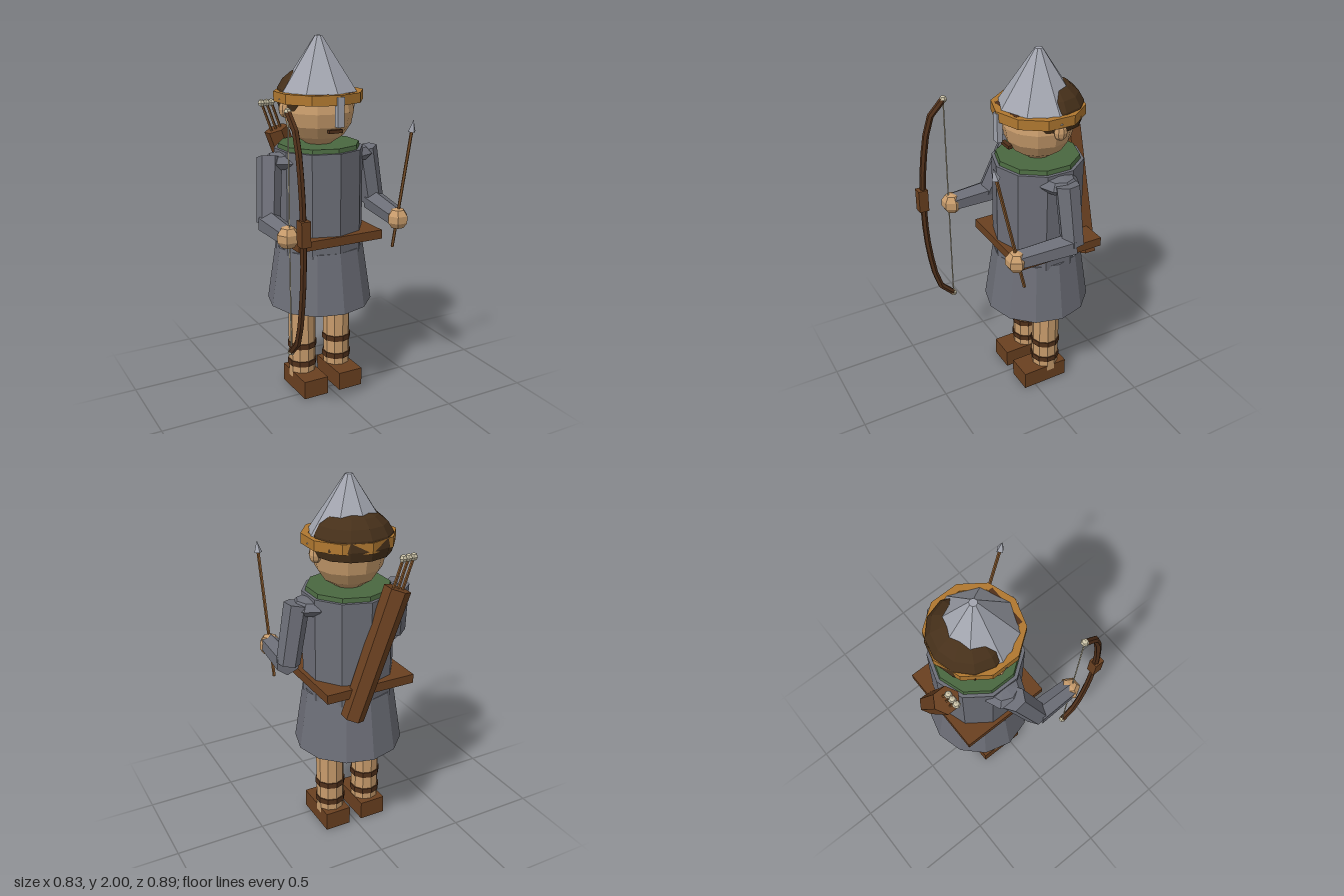
import * as THREE from 'three';

const paint = (name, color, extra = {}) => {
  const m = new THREE.MeshStandardMaterial({ color, flatShading: true, ...extra });
  m.name = name;
  return m;
};

export function createModel() {
  const root = new THREE.Group();
  root.name = 'archer';

  const cloth = paint('grey cloth', 0x6c6e77);
  const steel = paint('steel', 0xa2a5af);
  const skin = paint('skin', 0xc89c6c);
  const leather = paint('leather', 0x6a4020);
  const darkLeather = paint('dark leather', 0x50301a);
  const hairMat = paint('hair', 0x46301a, { side: THREE.DoubleSide });
  const gold = paint('gold', 0xb07830);
  const green = paint('green', 0x4a6840);
  const cream = paint('cream', 0xcdc5aa);
  const wood = paint('wood', 0x83562c);

  const Z = -0.105; // body axis
  const UP = new THREE.Vector3(0, 1, 0);

  const add = (name, geometry, material, x = 0, y = 0, z = 0) => {
    const mesh = new THREE.Mesh(geometry, material);
    mesh.name = name;
    mesh.position.set(x, y, z);
    root.add(mesh);
    return mesh;
  };
  const box = (name, mat, w, h, d, x, y, z) => add(name, new THREE.BoxGeometry(w, h, d), mat, x, y, z);
  // Upright cylinder between two heights
  const column = (name, mat, rTop, rBottom, y0, y1, sides, x = 0, z = Z) =>
    add(name, new THREE.CylinderGeometry(rTop, rBottom, y1 - y0, sides), mat, x, (y0 + y1) / 2, z);
  const ball = (name, mat, r, x, y, z, w = 8, h = 6) => add(name, new THREE.SphereGeometry(r, w, h), mat, x, y, z);
  // Cylinder from point a (radius ra) to point b (radius rb)
  const rod = (name, mat, a, b, ra, rb, sides = 6) => {
    const p = new THREE.Vector3(...a), q = new THREE.Vector3(...b);
    const dir = q.clone().sub(p);
    const mesh = add(name, new THREE.CylinderGeometry(rb, ra, dir.length(), sides), mat);
    mesh.position.copy(p).add(q).multiplyScalar(0.5);
    mesh.quaternion.setFromUnitVectors(UP, dir.normalize());
    return mesh;
  };

  // Tunic, belt and collar
  column('torso', cloth, 0.245, 0.245, 0.84, 1.412, 10);
  column('skirt', cloth, 0.245, 0.295, 0.53, 0.865, 12);
  box('belt', leather, 0.51, 0.05, 0.51, 0.002, 0.939, -0.107);
  column('collar', green, 0.222, 0.228, 1.408, 1.435, 10);

  // Legs, straps, shoes
  for (const s of [-1, 1]) {
    const x = s * 0.113;
    column('leg', skin, 0.079, 0.077, 0.07, 0.56, 10, x);
    for (const y of [0.16, 0.27]) column('legStrap', darkLeather, 0.084, 0.084, y - 0.016, y + 0.016, 10, x);
    box('shoe', leather, 0.148, 0.105, 0.273, s * 0.112, 0.0525, -0.068);
  }

  // Head, face and ears
  ball('head', skin, 0.19, 0, 1.61, Z, 12, 8);
  for (const s of [-1, 1]) {
    ball('ear', skin, 0.045, s * 0.195, 1.625, -0.12, 8, 6).scale.set(0.75, 1, 0.8);
    box('eyebrow', darkLeather, 0.08, 0.035, 0.024, s * 0.072, 1.698, 0.077);
  }
  box('mouth', darkLeather, 0.08, 0.018, 0.024, 0, 1.521, 0.078);

  // Hair cap
  const hair = new THREE.SphereGeometry(0.215, 12, 6, 0, Math.PI * 2, 0, Math.PI * 0.62);
  add('hair', hair, hairMat, 0, 1.68, -0.145).scale.set(1, 0.77, 0.94);

  // Helmet cone with gold rim and nose guard
  column('helmet', steel, 0.02, 0.235, 1.68, 2.0, 8);
  const rim = [[0.205, 1.662], [0.243, 1.662], [0.243, 1.715], [0.205, 1.715], [0.205, 1.662]];
  add('helmetRim', new THREE.LatheGeometry(rim.map(([r, y]) => new THREE.Vector2(r, y)), 10), gold, 0, 0, Z);
  box('noseGuard', steel, 0.04, 0.155, 0.03, 0, 1.628, 0.126);

  // Arms
  const arms = [
    { elbow: [-0.36, 1.06, 0.01], wrist: [-0.36, 1.05, 0.24], hand: [-0.36, 1.045, 0.24] },
    { elbow: [0.355, 1.06, -0.11], wrist: [0.322, 1.04, 0.19], hand: [0.322, 1.035, 0.2] },
  ];
  arms.forEach(({ elbow, wrist, hand }, i) => {
    const s = i ? 1 : -1;
    ball('shoulder', cloth, 0.11, s * 0.215, 1.355, Z, 8, 4).scale.y = 0.45;
    rod('upperArm', cloth, [s * 0.295, 1.38, -0.105], elbow, 0.067, 0.063);
    rod('forearm', cloth, elbow, wrist, 0.066, 0.056);
    ball('hand', skin, 0.062, ...hand, 6, 5);
  });

  // Bow
  const bx = -0.36;
  const bowLine = [[1.675, 0.26], [1.6, 0.335], [1.365, 0.392], [1.05, 0.412], [0.735, 0.392], [0.5, 0.335], [0.425, 0.26]];
  const curve = new THREE.CatmullRomCurve3(bowLine.map(([y, z]) => new THREE.Vector3(bx, y, z)));
  add('bow', new THREE.TubeGeometry(curve, 12, 0.018, 6), darkLeather);
  box('bowGrip', leather, 0.05, 0.13, 0.055, bx, 1.113, 0.417);
  rod('bowString', cream, [bx, 0.425, 0.26], [bx, 1.675, 0.26], 0.004, 0.004, 4);
  for (const y of [0.425, 1.675]) ball('bowTip', cream, 0.021, bx, y, 0.26, 6, 4);

  // Arrow in the left hand
  rod('arrowShaft', wood, [0.322, 0.86, 0.155], [0.322, 1.54, 0.31], 0.009, 0.009, 5);
  rod('arrowHead', steel, [0.322, 1.53, 0.308], [0.322, 1.59, 0.322], 0.023, 0.001, 4);

  // Quiver with spare arrows on the back
  rod('quiver', leather, [0.115, 0.8, -0.362], [-0.125, 1.475, -0.38], 0.062, 0.07, 6);
  for (const dx of [-0.03, 0, 0.03]) {
    rod('spareArrow', wood, [-0.115 + dx, 1.44, -0.38], [-0.182 + dx, 1.625, -0.38], 0.008, 0.008, 5);
    ball('spareArrowEnd', cream, 0.021, -0.182 + dx, 1.625, -0.38, 6, 4);
  }

  return root;
}
